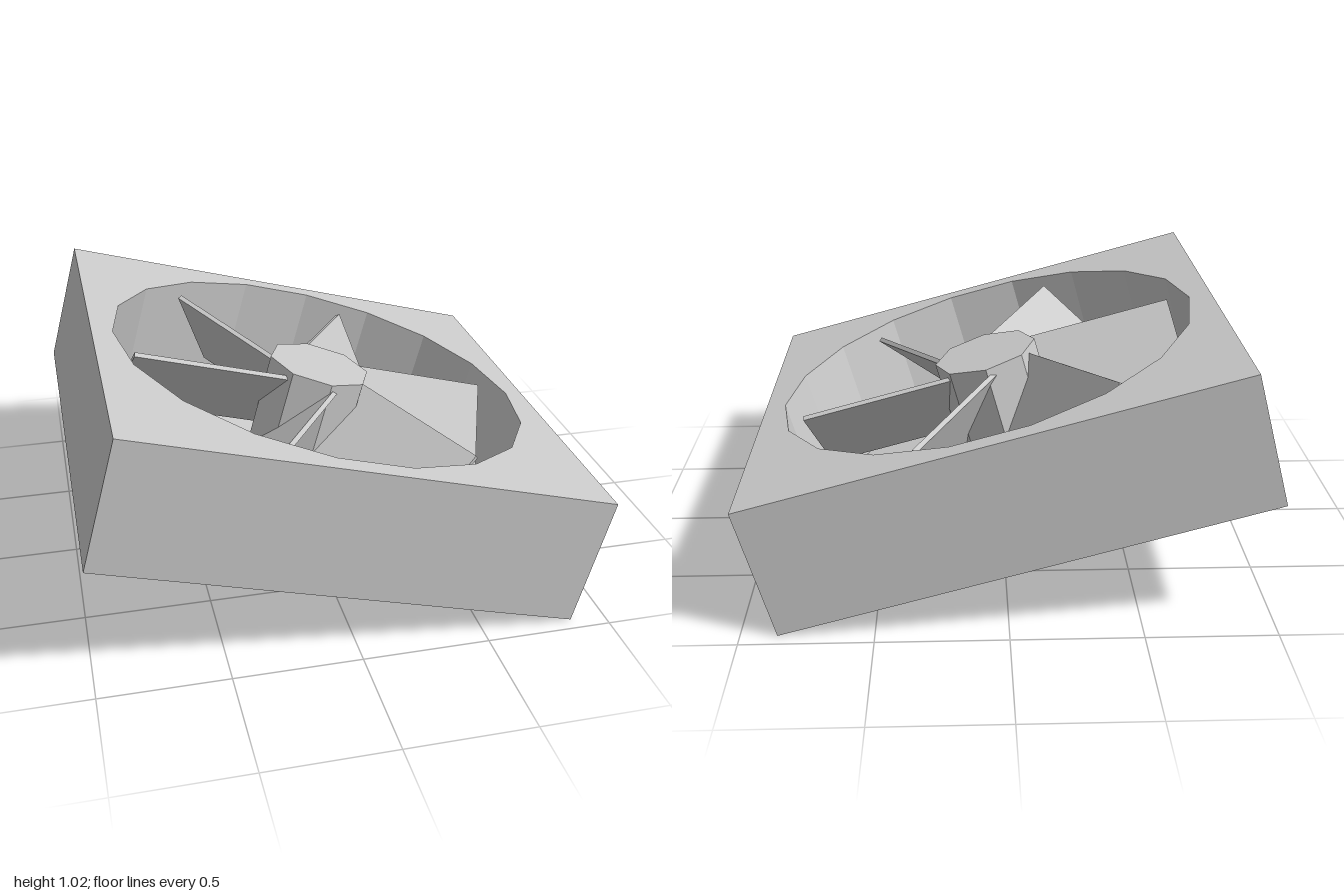
import * as THREE from 'three';

const LENGTH = 1.93, DEPTH = 1.89, THICK = 0.528;
const TILT = THREE.MathUtils.degToRad(15.3);
const BORE = 0.877, BORE_SIDES = 18;

export function createModel() {
  const model = new THREE.Group();
  model.name = 'tiltedFan';
  const material = new THREE.MeshStandardMaterial({ color: 0xcccccc, flatShading: true });

  // Everything is built upright around the housing centre, then tilted
  const fan = new THREE.Group();
  fan.name = 'fan';
  fan.rotation.z = -TILT;
  fan.position.y = (LENGTH * Math.sin(TILT) + THICK * Math.cos(TILT)) / 2;
  model.add(fan);

  const add = (parent, name, geometry) => {
    const mesh = new THREE.Mesh(geometry, material);
    mesh.name = name;
    parent.add(mesh);
    return mesh;
  };

  // Rectangular housing with a faceted round bore
  const outline = new THREE.Shape([
    new THREE.Vector2(-LENGTH / 2, -DEPTH / 2), new THREE.Vector2(LENGTH / 2, -DEPTH / 2),
    new THREE.Vector2(LENGTH / 2, DEPTH / 2), new THREE.Vector2(-LENGTH / 2, DEPTH / 2),
  ]);
  const bore = [];
  for (let i = 0; i < BORE_SIDES; i++) {
    const a = -(i / BORE_SIDES) * Math.PI * 2;
    bore.push(new THREE.Vector2(Math.cos(a) * BORE, Math.sin(a) * BORE));
  }
  outline.holes.push(new THREE.Path(bore));
  const housing = new THREE.ExtrudeGeometry(outline, { depth: THICK, bevelEnabled: false });
  housing.rotateX(-Math.PI / 2).translate(0, -THICK / 2, 0);
  add(fan, 'housing', housing);

  // Thin floor closing the bottom of the bore
  const floor = new THREE.CylinderGeometry(BORE, BORE, 0.006, BORE_SIDES, 1, false, Math.PI / 2);
  add(fan, 'floor', floor).position.y = -THICK / 2 + 0.003;

  // Octagonal hub, flush with the top face
  const hubHeight = THICK - 0.006;
  add(fan, 'hub', new THREE.CylinderGeometry(0.215, 0.215, hubHeight, 8)).position.y = 0.003;

  // Six pitched flat blades
  const bladeGeometry = new THREE.BoxGeometry(0.695, 0.02, 0.4);
  bladeGeometry.rotateX(THREE.MathUtils.degToRad(52)).translate(0.4475, THICK / 2 - 0.19, 0);
  for (let i = 0; i < 6; i++) {
    add(fan, 'blade' + (i + 1), bladeGeometry).rotation.y = (i * Math.PI) / 3;
  }
  return model;
}
